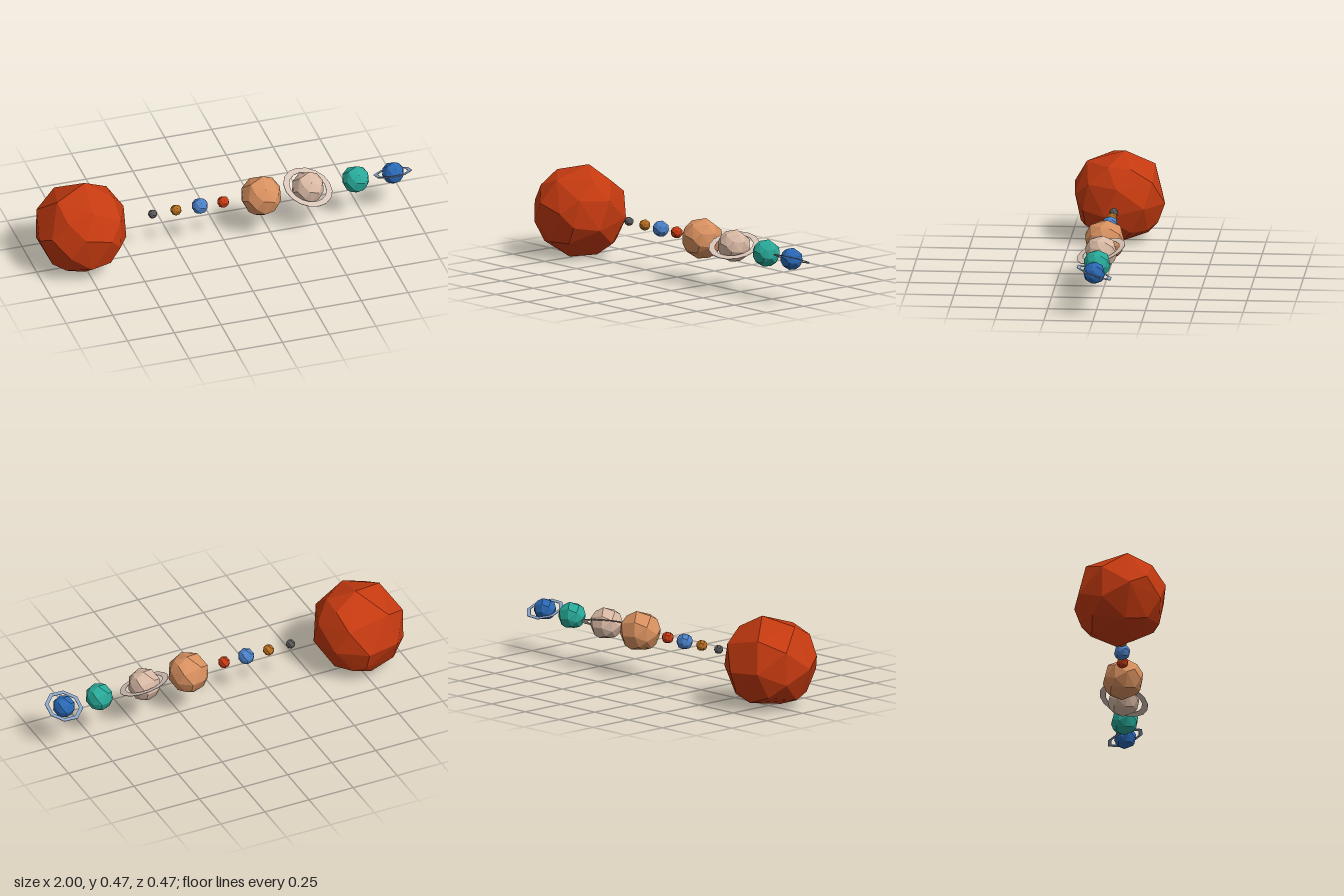
import * as THREE from 'three';
import { ConvexGeometry } from 'three/addons/geometries/ConvexGeometry.js';

const AXIS_Y = 0.237;

// Rough directions of the corners of the faceted ball shared by every body
const CORNERS = [
  // middle band
  [3, 23, -3], [1, 18, 17], [-4, 6, 24], [0, -14, 20], [0, -23, 7],
  [0, -20, -15], [5, -13, -20], [5, -3, -23], [-9, 15, -18],
  // left half
  [16, 17, -7], [16, -5, 18], [11, -14, 17], [10, -16, -15], [17, -16, -7],
  [23, -7, 6], [11, -22, -2], [14, 10, -18], [16, 18, 5], [10, 2, 22],
  [23, 8, 0], [20, -3, -14], [17, 9, 15],
  // right half
  [-14, 20, 4], [-21, 9, -9], [-23, -1, 5], [-21, -8, -9], [-16, -18, 3],
  [-20, 4, 14], [-12, -5, 21], [-12, -2, -21], [-12, 14, 17],
  [-12, -16, 14], [-13, -15, -14],
];

// Name, x position, radius, colour
const BODIES = [
  ['sun', -0.765, 0.235, 0xc53a10],
  ['greyPlanet', -0.38, 0.023, 0x585858],
  ['ochrePlanet', -0.255, 0.028, 0xb56c1e],
  ['bluePlanet', -0.128, 0.041, 0x4a80c8],
  ['redPlanet', -0.003, 0.03, 0xc53a14],
  ['orangeGiant', 0.2, 0.103, 0xd8905f],
  ['paleGiant', 0.45, 0.082, 0xd8b8a4],
  ['tealGiant', 0.705, 0.069, 0x28a898],
  ['darkBlueGiant', 0.905, 0.056, 0x2a68b4],
];

function flatMaterial(color) {
  return new THREE.MeshStandardMaterial({ color, flatShading: true });
}

function facetedBall() {
  // Corner sphere is slightly larger than the visible half-width of 1
  return new ConvexGeometry(
    CORNERS.map((c) => new THREE.Vector3(...c).setLength(1.035)));
}

// Thin flat band with a polygonal outline, tilted so that its axis follows `normal`
function makeRing(name, x, inner, outer, sides, normal, color) {
  const t = 0.0015;
  const profile = [[inner, -t], [outer, -t], [outer, t], [inner, t], [inner, -t]]
    .map(([r, y]) => new THREE.Vector2(r, y));
  const ring = new THREE.Mesh(
    new THREE.LatheGeometry(profile, sides, Math.PI / sides), flatMaterial(color));
  ring.name = name;
  ring.position.set(x, AXIS_Y, 0);
  ring.quaternion.setFromUnitVectors(new THREE.Vector3(0, 1, 0), normal.normalize());
  return ring;
}

export function createModel() {
  const group = new THREE.Group();
  group.name = 'planetRow';

  // Sun and planets in one line
  const ball = facetedBall();
  for (const [name, x, radius, color] of BODIES) {
    const body = new THREE.Mesh(ball, flatMaterial(color));
    body.name = name;
    body.position.set(x, AXIS_Y, 0);
    body.scale.setScalar(radius);
    group.add(body);
  }

  // Wide ring of the pale giant and narrow eight-sided ring of the last planet
  group.add(makeRing('wideRing', 0.45, 0.099, 0.131, 16,
    new THREE.Vector3(0.21, 1, 0.34), 0xd8c4b8));
  group.add(makeRing('narrowRing', 0.905, 0.08, 0.1, 8,
    new THREE.Vector3(-0.06, 1, -0.365), 0x8aa4c4));

  return group;
}
